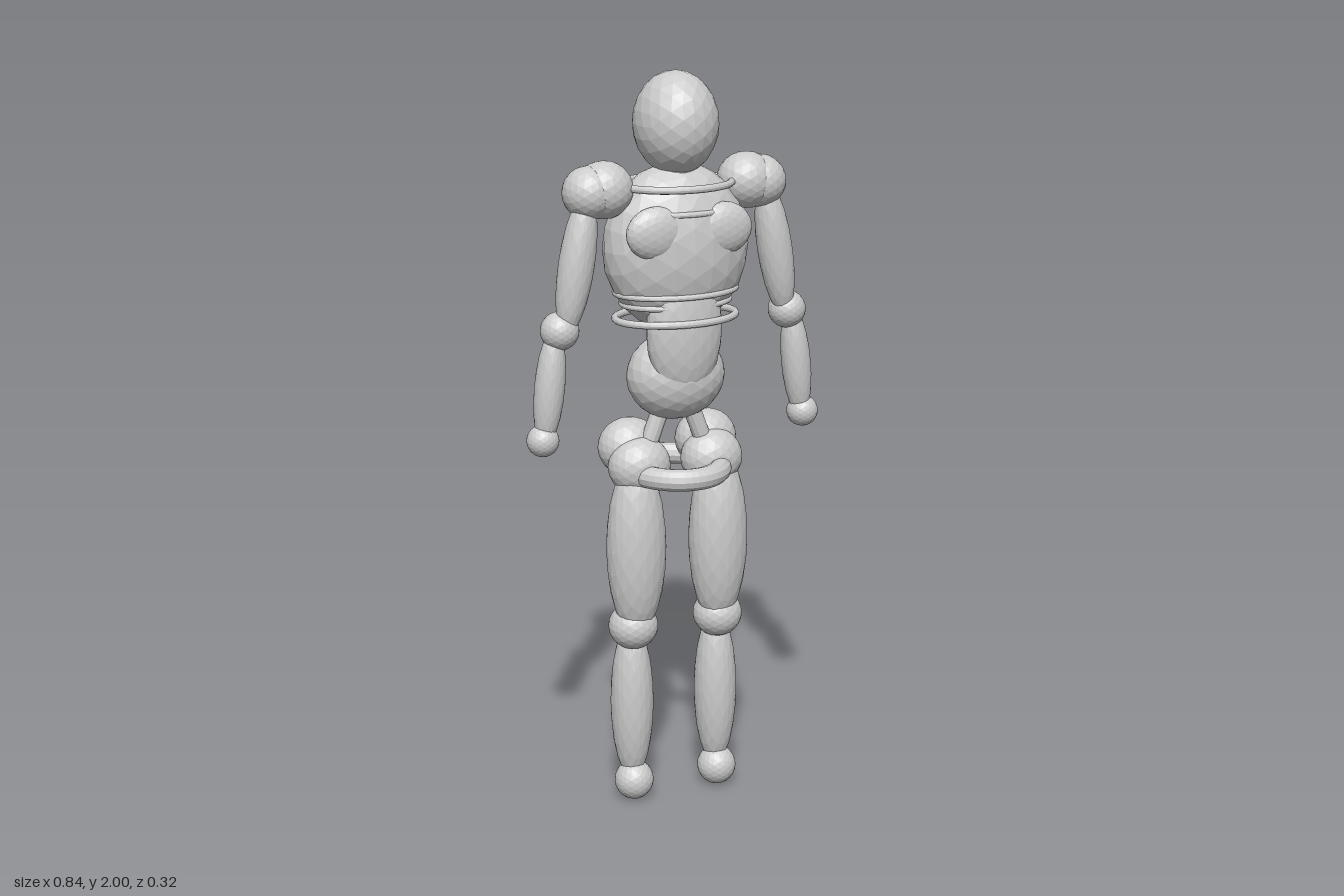
import * as THREE from 'three';

const material = new THREE.MeshStandardMaterial({ color: 0xcccccc, flatShading: true });
const ball = new THREE.IcosahedronGeometry(1, 3);

export function createModel() {
  const model = new THREE.Group();
  model.name = 'jointedFigure';

  const add = (name, geometry, [x, y, z]) => {
    const mesh = new THREE.Mesh(geometry, material);
    mesh.name = name;
    mesh.position.set(x, y, z);
    model.add(mesh);
    return mesh;
  };

  // Ellipsoid with radii r, optionally leaning sideways
  const blob = (name, p, r, lean = 0) => {
    const mesh = add(name, ball, p);
    mesh.scale.set(...r);
    mesh.rotation.z = lean;
  };

  // Horizontal oval ring; rx and rz run to the centre of the tube
  const ring = (name, y, rx, rz, tube) => {
    const path = new THREE.CatmullRomCurve3(
      Array.from({ length: 24 }, (_, i) => {
        const a = (i / 24) * Math.PI * 2;
        return new THREE.Vector3(rx * Math.cos(a), 0, rz * Math.sin(a));
      }), true);
    add(name, new THREE.TubeGeometry(path, 48, tube, 12, true), [0, y, 0]);
  };

  // Head and torso
  blob('head', [0, 1.865, 0], [0.11, 0.135, 0.124]);
  add('neck', new THREE.CylinderGeometry(0.05, 0.06, 0.12, 16), [0, 1.74, 0]);
  blob('chest', [0, 1.545, 0], [0.2, 0.222, 0.13]);
  blob('abdomen', [0, 1.335, 0.057], [0.105, 0.19, 0.06]);
  blob('pelvis', [0, 1.2, 0], [0.136, 0.12, 0.1]);

  // Rings around the ribs and the hips
  ring('collarRing', 1.71, 0.15, 0.117, 0.01);
  ring('upperRibRing', 1.645, 0.162, 0.112, 0.008);
  ring('lowerRibRing', 1.43, 0.166, 0.112, 0.008);
  ring('bottomRibRing', 1.4, 0.148, 0.1, 0.008);
  ring('waistRing', 1.36, 0.165, 0.115, 0.01);
  ring('hipRing', 0.945, 0.118, 0.13, 0.03);

  for (const [side, s] of [['left', 1], ['right', -1]]) {
    blob(side + 'Pectoral', [s * 0.092, 1.6, 0.09], [0.083, 0.07, 0.036]);

    // Arm
    blob(side + 'ShoulderInner', [s * 0.2, 1.705, 0], [0.078, 0.075, 0.074]);
    blob(side + 'ShoulderOuter', [s * 0.24, 1.7, 0], [0.07, 0.07, 0.072]);
    blob(side + 'UpperArm', [s * 0.281, 1.52, 0.012], [0.047, 0.19, 0.046], s * 0.17);
    blob(side + 'Elbow', [s * 0.325, 1.348, 0], [0.051, 0.051, 0.051]);
    blob(side + 'Forearm', [s * 0.355, 1.2, 0], [0.04, 0.16, 0.04], s * 0.11);
    blob(side + 'Hand', [s * 0.376, 1.06, 0], [0.043, 0.043, 0.043]);

    // Hip
    const strut = add(side + 'HipStrut', new THREE.CylinderGeometry(0.024, 0.024, 0.2, 12),
      [s * 0.066, 1.05, 0]);
    strut.rotation.z = s * 0.36;
    blob(side + 'Glute', [s * 0.112, 1.0, -0.055], [0.086, 0.08, 0.072]);
    blob(side + 'HipJoint', [s * 0.105, 0.96, 0], [0.086, 0.08, 0.072]);

    // Leg
    blob(side + 'Thigh', [s * 0.12, 0.735, 0.012], [0.082, 0.25, 0.073]);
    blob(side + 'Knee', [s * 0.125, 0.51, 0], [0.068, 0.065, 0.067]);
    blob(side + 'Shin', [s * 0.125, 0.285, -0.012], [0.059, 0.23, 0.06]);
    blob(side + 'Foot', [s * 0.125, 0.055, 0], [0.054, 0.055, 0.054]);
  }

  return model;
}
